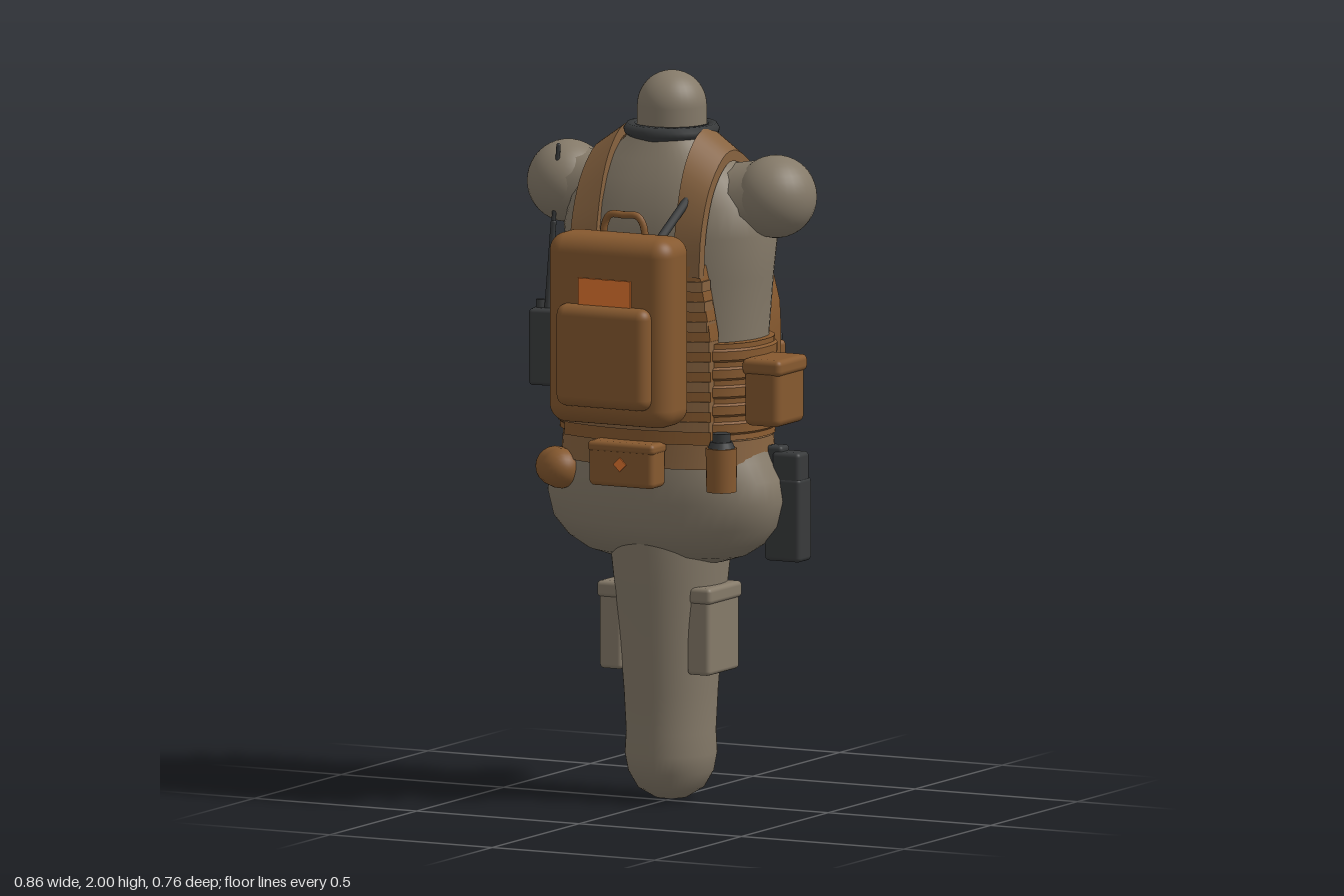
import * as THREE from 'three';
import { toCreasedNormals } from 'three/addons/utils/BufferGeometryUtils.js';
import { RoundedBoxGeometry } from 'three/addons/geometries/RoundedBoxGeometry.js';

const material = (name, color) => {
  const m = new THREE.MeshStandardMaterial({ color });
  m.name = name;
  return m;
};

// Closed rings of superellipses, each section [y, rx, rz, cz]
function loft(sections, power = 2.3, n = 48) {
  const pos = [], index = [];
  const curve = (v) => Math.sign(v) * Math.abs(v) ** (2 / power);
  sections.forEach(([y, rx, rz, cz = -0.03], j) => {
    for (let i = 0; i < n; i++) {
      const a = (i / n) * Math.PI * 2;
      pos.push(rx * curve(Math.cos(a)), y, cz + rz * curve(Math.sin(a)));
      if (j === sections.length - 1) continue;
      const p = j * n + i, q = j * n + (i + 1) % n;
      index.push(p, p + n, q, q, p + n, q + n);
    }
  });
  const g = new THREE.BufferGeometry();
  g.setAttribute('position', new THREE.Float32BufferAttribute(pos, 3));
  g.setIndex(index);
  g.computeVertexNormals();
  return g;
}

// Box panel wrapped around the chest, narrowing above shoulderY
function wrapPanel(w, h, d, bend, taper) {
  const g = new THREE.BoxGeometry(w, h, d, 12, 8, 1);
  const p = g.attributes.position;
  for (let i = 0; i < p.count; i++) {
    const t = Math.max(0, p.getY(i) / h - 0.1) / 0.4;
    const x = p.getX(i) * (1 - taper * t);
    p.setX(i, x);
    p.setZ(i, p.getZ(i) + bend * x * x);
  }
  return toCreasedNormals(g, 0.6);
}

// Shoulder strap: side profile extruded across x, sloping down outwards
function strapGeometry(x0) {
  const path = new THREE.SplineCurve([[-0.185, 1.46], [-0.17, 1.6], [-0.125, 1.74], [-0.05, 1.825],
    [0.03, 1.84], [0.12, 1.79], [0.2, 1.69], [0.25, 1.55]].map(([a, b]) => new THREE.Vector2(a, b)));
  const outer = [], inner = [];
  for (let i = 0; i <= 28; i++) {
    const p = path.getPoint(i / 28), t = path.getTangent(i / 28);
    outer.push(p);
    inner.unshift(new THREE.Vector2(p.x + t.y * 0.03, p.y - t.x * 0.03));
  }
  const g = new THREE.ExtrudeGeometry(new THREE.Shape([...outer, ...inner]), { depth: 0.08, bevelEnabled: false, steps: 2 });
  g.rotateY(Math.PI / 2).translate(x0, 0, 0);
  const p = g.attributes.position;
  for (let i = 0; i < p.count; i++) {
    const k = THREE.MathUtils.smoothstep(p.getY(i), 1.5, 1.83);
    p.setY(i, p.getY(i) + 0.01 - (Math.abs(p.getX(i)) - 0.12) * 0.7 * k);
  }
  return toCreasedNormals(g, 0.6);
}

export function createModel() {
  const root = new THREE.Group();
  root.name = 'equippedTorso';
  const cloth = material('greyBrownCloth', 0x857a69);
  const brown = material('coyoteBrown', 0x86592f);
  const webbing = material('webbingBrown', 0x876340);
  const dark = material('darkGear', 0x383a3b);
  const orange = material('orangePatch', 0xe0752f);

  const add = (name, geo, mat, x = 0, y = 0, z = 0, ry = 0, rz = 0, parent = root) => {
    const m = new THREE.Mesh(geo, mat);
    m.name = name;
    m.position.set(x, y, z);
    m.rotation.set(0, ry, rz);
    parent.add(m);
    return m;
  };
  const box = (w, h, d, r = 0.015) => new RoundedBoxGeometry(w, h, d, 3, Math.min(r, w / 2.01, h / 2.01, d / 2.01));
  const ball = (rx, ry, rz) => new THREE.SphereGeometry(1, 32, 20).scale(rx, ry, rz);
  const tube = (pts, r) => new THREE.TubeGeometry(
    new THREE.CatmullRomCurve3(pts.map((p) => new THREE.Vector3(...p))), 20, r, 10);
  const rod = (a, b, r) => {
    const s = new THREE.Vector3(...a), e = new THREE.Vector3(...b), d = e.clone().sub(s);
    const g = new THREE.CapsuleGeometry(r, d.length(), 4, 10);
    g.applyQuaternion(new THREE.Quaternion().setFromUnitVectors(new THREE.Vector3(0, 1, 0), d.normalize()));
    const c = s.add(e).multiplyScalar(0.5);
    return g.translate(c.x, c.y, c.z);
  };

  // Body
  add('torso', loft([[0.95, 0.28, 0.185], [1.15, 0.272, 0.185], [1.3, 0.278, 0.19], [1.45, 0.29, 0.198],
    [1.57, 0.305, 0.198], [1.65, 0.285, 0.185], [1.72, 0.235, 0.16], [1.77, 0.185, 0.135], [1.81, 0.13, 0.115],
    [1.85, 0.095, 0.095]]), cloth);
  add('pelvis', loft([[0.66, 0, 0, -0.01], [0.665, 0.17, 0.06, -0.01], [0.685, 0.235, 0.115, -0.01], [0.72, 0.29, 0.155, -0.01],
    [0.77, 0.332, 0.185, -0.01], [0.84, 0.35, 0.195, -0.01], [0.9, 0.34, 0.195, -0.01], [0.95, 0.31, 0.19, -0.01],
    [1.02, 0.28, 0.185, -0.01]], 2.2), cloth);
  add('leg', loft([[0, 0, 0], [0.007, 0.045, 0.045], [0.035, 0.09, 0.095], [0.08, 0.115, 0.122], [0.13, 0.124, 0.133],
    [0.19, 0.121, 0.128], [0.3, 0.126, 0.136], [0.45, 0.137, 0.15], [0.6, 0.152, 0.165], [0.7, 0.163, 0.175],
    [0.78, 0.168, 0.178]], 2), cloth);
  add('head', new THREE.CapsuleGeometry(0.095, 0.1, 12, 32), cloth, 0, 1.855, -0.035);
  for (const s of [-1, 1]) {
    add('armStub', ball(0.112, 0.113, 0.113), cloth, s * 0.32, 1.675, -0.035);
    add('upperArm', rod([s * 0.12, 1.64, -0.035], [s * 0.3, 1.67, -0.035], 0.105), cloth);
    // Thigh pockets with flaps
    add('legPouch', box(0.07, 0.235, 0.18, 0.012), cloth, s * 0.135, 0.477, -0.02);
    add('legPouchFlap', box(0.07, 0.045, 0.19, 0.012), cloth, s * 0.141, 0.578, -0.02);
  }
  add('collar', new THREE.LatheGeometry([[0.08, 1.77], [0.105, 1.79], [0.115, 1.82], [0.128, 1.83], [0.131, 1.843],
    [0.122, 1.857], [0.1, 1.857], [0.09, 1.83]].map(([r, y]) => new THREE.Vector2(r, y)), 40), dark, 0, 0, -0.033);

  // Raised foot
  add('shoeSole', new THREE.CylinderGeometry(1, 0.95, 0.03, 36).scale(0.078, 1, 0.092), dark, 0, 0.762, -0.288);
  add('shoeUpper', ball(0.066, 0.075, 0.083), cloth, 0, 0.785, -0.278);

  // Vest
  for (const x0 of [-0.2, 0.12]) add('shoulderStrap', strapGeometry(x0), webbing);
  const rows = [[1.02, 0.27, 0.18, -0.01], [1.02, 0.302, 0.208, -0.01]];
  for (let i = 0; i < 5; i++) {
    const y = 1.035 + i * 0.05;
    rows.push([y, 0.3, 0.207, -0.01], [y + 0.006, 0.307, 0.213, -0.01], [y + 0.03, 0.307, 0.213, -0.01], [y + 0.036, 0.3, 0.207, -0.01]);
  }
  rows.push([1.285, 0.3, 0.207, -0.01], [1.285, 0.27, 0.18, -0.01]);
  add('cummerbund', toCreasedNormals(loft(rows, 2.4), 0.5), brown);
  add('packPanel', wrapPanel(0.45, 0.49, 0.05, -0.9, 0.14), brown, 0, 1.255, 0.185);
  for (let i = 0; i < 8; i++) {
    add('packPanelWebbing', wrapPanel(0.45 - Math.max(0, i - 4) * 0.012, 0.028, 0.05, -0.9, 0), webbing, 0, 1.06 + i * 0.055, 0.193);
  }
  add('chestPanel', wrapPanel(0.46, 0.51, 0.08, 0.9, 0.3), brown, 0, 1.295, -0.24);
  add('chestAdminPouch', box(0.31, 0.15, 0.05), brown, 0, 1.472, -0.297);
  add('chestAdminFlap', box(0.315, 0.035, 0.055), brown, 0, 1.535, -0.3);
  add('darkChestPatch', new THREE.BoxGeometry(0.085, 0.06, 0.008), dark, 0.09, 1.462, -0.324);
  add('orangeChestPatch', new THREE.BoxGeometry(0.14, 0.078, 0.008), orange, -0.055, 1.458, -0.324);
  for (const s of [-1, 1]) add('strapBuckle', box(0.07, 0.05, 0.04, 0.01), dark, s * 0.17, 1.565, -0.265);
  add('strapHose', rod([0.158, 1.7, -0.185], [0.168, 1.58, -0.265], 0.013), dark);

  // Magazine pouches
  for (const s of [-1, 0, 1]) {
    const g = new THREE.Group();
    g.name = 'magazinePouch';
    g.position.set(s * 0.155, 1.14, s ? -0.262 : -0.29);
    g.rotation.y = -s * 0.32;
    root.add(g);
    add('pouchBody', box(0.13, 0.21, 0.07, 0.014), brown, 0, 0, 0, 0, 0, g);
    add('magazineTop', box(0.09, 0.075, 0.05, 0.01), dark, 0, 0.12, 0, 0, 0, g);
    add('pouchLid', box(0.095, 0.03, 0.078, 0.01), dark, 0, 0.11, 0, 0, 0, g);
    add('pouchPullTab', new THREE.BoxGeometry(0.018, 0.06, 0.008), dark, 0, 0.075, -0.036, 0, 0, g);
  }

  // Backpack
  add('backpackBody', new RoundedBoxGeometry(0.38, 0.52, 0.155, 6, 0.05), brown, 0, 1.33, 0.273);
  add('backpackPocket', new RoundedBoxGeometry(0.285, 0.28, 0.08, 5, 0.03), brown, 0, 1.262, 0.345);
  add('backpackPocketSeam', box(0.265, 0.04, 0.03, 0.012), brown, 0, 1.375, 0.35);
  add('backpackPatch', new THREE.BoxGeometry(0.16, 0.075, 0.009), orange, 0, 1.437, 0.353);
  add('backpackHandle', tube([[-0.065, 1.58, 0.24], [-0.058, 1.615, 0.24], [-0.042, 1.637, 0.242], [0, 1.638, 0.243],
    [0.042, 1.637, 0.242], [0.058, 1.615, 0.24], [0.065, 1.58, 0.24]], 0.01), brown);
  add('drinkingHose', rod([0.112, 1.575, 0.25], [0.142, 1.68, 0.135], 0.012), dark);

  // Side pouch and radio
  add('sidePouch', box(0.11, 0.175, 0.16, 0.02), brown, 0.345, 1.148, 0.02);
  add('sidePouchFlap', box(0.12, 0.045, 0.168, 0.015), brown, 0.346, 1.223, 0.02);
  add('radio', box(0.085, 0.21, 0.07, 0.01), dark, -0.345, 1.228, 0.04, 0.2);
  add('radioKnob', new THREE.CylinderGeometry(0.012, 0.012, 0.03, 12), dark, -0.365, 1.34, 0.04);
  add('radioAntenna', rod([-0.345, 1.32, 0.04], [-0.322, 1.57, 0.045], 0.008), dark);
  add('antennaTip', rod([-0.322, 1.57, 0.045], [-0.304, 1.783, 0.05], 0.006), dark);

  // Belt with its pouches
  const band = [[0.94, 0.26, 0.18], [0.94, 0.302, 0.21], [1.015, 0.296, 0.207], [1.015, 0.26, 0.18]];
  add('belt', toCreasedNormals(loft(band.map((b) => [...b, -0.015]), 2.3), 0.5), webbing);
  add('beltBuckle', box(0.1, 0.065, 0.03, 0.008), dark, 0, 0.96, -0.232);
  add('beltCenterPouch', box(0.2, 0.12, 0.08), brown, 0, 0.952, 0.224);
  add('beltCenterFlap', box(0.205, 0.03, 0.085, 0.012), brown, 0, 1.0, 0.224);
  add('diamondMark', new THREE.BoxGeometry(0.028, 0.028, 0.008), orange, 0, 0.955, 0.264, 0, Math.PI / 4);
  add('rollPouch', new THREE.CapsuleGeometry(0.055, 0.045, 8, 20).rotateX(Math.PI / 2), brown, -0.265, 0.912, 0.125, 0.8);
  add('bottle', new THREE.CylinderGeometry(0.043, 0.041, 0.12, 24), brown, 0.255, 0.945, 0.157);
  add('bottleNeck', new THREE.CylinderGeometry(0.03, 0.038, 0.02, 24), dark, 0.255, 1.012, 0.157);
  add('bottleCap', new THREE.CylinderGeometry(0.025, 0.025, 0.03, 20), dark, 0.255, 1.03, 0.157);
  for (const [x, z, a] of [[-0.165, -0.215, 0.35], [-0.25, -0.175, 0.75]]) {
    add('smallBeltPouch', box(0.058, 0.11, 0.05, 0.014), brown, x, 0.95, z, a);
    add('smallPouchFlap', box(0.062, 0.03, 0.056, 0.01), brown, x, 0.995, z, a);
  }

  // Holster
  add('holsterBody', box(0.11, 0.23, 0.075, 0.012), dark, 0.345, 0.79, -0.058);
  add('holsterMouth', box(0.085, 0.1, 0.065, 0.012), dark, 0.355, 0.925, -0.055);
  add('holsterHanger', box(0.05, 0.12, 0.05, 0.01), dark, 0.315, 0.93, -0.055);
  return root;
}
